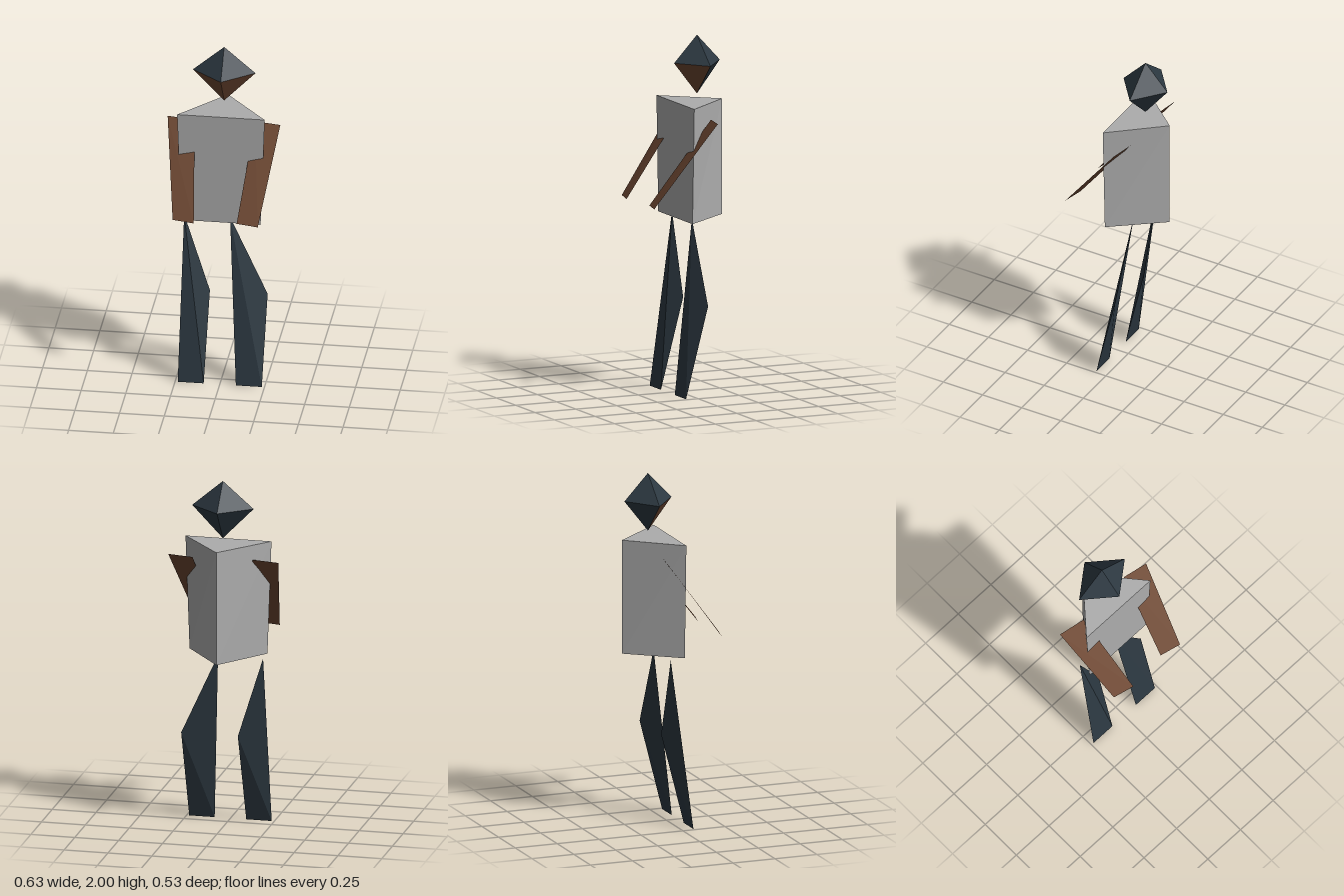
import * as THREE from 'three';

const mat = (name, color, side = THREE.FrontSide) => {
  const m = new THREE.MeshStandardMaterial({ color, side });
  m.name = name;
  return m;
};

// Flat-faceted mesh from corner points and triangles
function facets(name, points, faces, material) {
  const geo = new THREE.BufferGeometry();
  const pos = faces.flat().flatMap((i) => points[i]);
  geo.setAttribute('position', new THREE.Float32BufferAttribute(pos, 3));
  geo.computeVertexNormals();
  const mesh = new THREE.Mesh(geo, material);
  mesh.name = name;
  return mesh;
}

export function createModel() {
  const slate = mat('slate', 0x2d3942);
  const grey = mat('grey', 0xadadad);
  const faceBrown = mat('faceBrown', 0x6e4832);
  const skin = mat('skinBrown', 0x6e4832, THREE.DoubleSide);
  const model = new THREE.Group();
  model.name = 'figure';

  // Head: stretched octahedron, its lower front faces are the face
  const head = new THREE.Group();
  head.name = 'head';
  const hp = [
    [0, 2, -0.11], [0, 1.67, -0.11],
    [0, 1.85, 0.03], [0.175, 1.85, -0.11], [0, 1.85, -0.25], [-0.175, 1.85, -0.11],
  ];
  head.add(
    facets('hair', hp, [[0, 2, 3], [0, 3, 4], [0, 4, 5], [0, 5, 2], [1, 4, 3], [1, 5, 4]], slate),
    facets('face', hp, [[1, 3, 2], [1, 2, 5]], faceBrown),
  );
  model.add(head);

  // Torso: triangular prism, slightly narrower at the hips
  const ring = (w, y) => [[-w, y, 0.022], [w, y, 0.022], [0, y, -0.265]];
  model.add(facets('torso', [...ring(0.245, 1.63), ...ring(0.222, 0.98)], [
    [0, 1, 2], [3, 5, 4],
    [3, 4, 1], [3, 1, 0],
    [4, 5, 2], [4, 2, 1],
    [5, 3, 0], [5, 0, 2],
  ], grey));

  // Arms: flat plates reaching forward
  const arm = (name, points) => facets(name, points, [[0, 1, 2], [0, 2, 3]], skin);
  model.add(
    arm('rightArm', [[-0.317, 1.55, -0.115], [-0.24, 1.085, 0.237], [-0.118, 1.085, 0.265], [-0.162, 1.55, -0.088]]),
    arm('leftArm', [[0.172, 1.55, -0.115], [0.118, 1.085, 0.237], [0.24, 1.085, 0.265], [0.317, 1.55, -0.088]]),
  );

  // Legs: slim tetrahedra from hip point to knee corner and foot edge
  const leg = (name, hip, knee, footA, footB) => facets(name, [
    [hip, 0.975, -0.06], [knee, 0.515, -0.06], [footA, 0, 0.068], [footB, 0, 0.068],
  ], [[0, 2, 3], [0, 3, 1], [0, 1, 2], [2, 1, 3]], slate);
  model.add(
    leg('rightLeg', -0.217, -0.073, -0.235, -0.09),
    leg('leftLeg', 0.04, 0.25, 0.09, 0.235),
  );

  return model;
}
